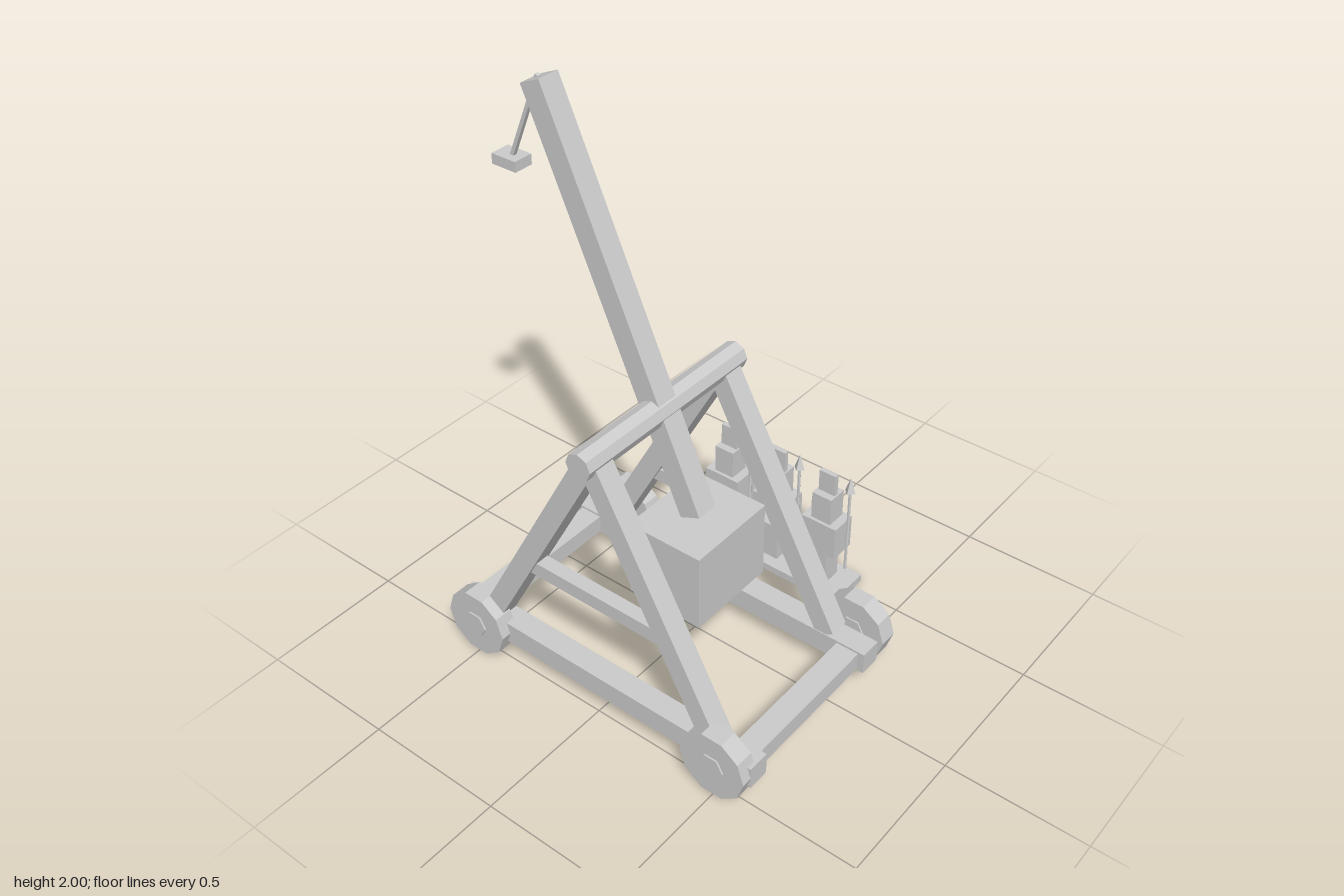
import * as THREE from 'three';

const timber = new THREE.MeshStandardMaterial({ color: 0xcccccc });
timber.name = 'plain grey';
timber.flatShading = true;

const CENTRE = -0.167; // middle of the engine in x

export function createModel() {
  const model = new THREE.Group();
  model.name = 'siegeEngine';

  function add(parent, name, geometry, x, y, z) {
    const mesh = new THREE.Mesh(geometry, timber);
    mesh.name = name;
    mesh.position.set(x, y, z);
    parent.add(mesh);
    return mesh;
  }
  const box = (parent, name, w, h, d, x, y, z) =>
    add(parent, name, new THREE.BoxGeometry(w, h, d), x, y, z);

  // Square beam between two [y, z] points in a plane of constant x
  function beam(parent, name, x, a, b, w, d) {
    const dy = b[0] - a[0], dz = b[1] - a[1];
    const mesh = box(parent, name, w, Math.hypot(dy, dz), d, x, (a[0] + b[0]) / 2, (a[1] + b[1]) / 2);
    mesh.rotation.x = Math.atan2(dz, dy);
    return mesh;
  }

  // Cylinder lying along x, with its first vertex on the z axis
  function roller(parent, name, radius, length, sides, x, y, z) {
    const geometry = new THREE.CylinderGeometry(radius, radius, length, sides);
    geometry.rotateZ(Math.PI / 2);
    return add(parent, name, geometry, x, y, z);
  }

  // Frame: two long sills, legs, braces and cross beams
  const frame = new THREE.Group();
  frame.name = 'frame';
  model.add(frame);
  for (const side of [-1, 1]) {
    const x = CENTRE + side * 0.305;
    box(frame, 'sill', 0.08, 0.08, 1.24, x, 0.127, 0);
    box(frame, 'brace', 0.05, 0.052, 0.54, x, 0.473, 0);
    for (const end of [-1, 1]) {
      beam(frame, 'leg', x, [0.165, end * 0.463], [1.005, end * 0.007], 0.074, 0.072);
    }
  }
  for (const end of [-1, 1]) {
    box(frame, 'crossBeam', 0.56, 0.066, 0.083, CENTRE, 0.126, end * 0.555);
  }
  roller(frame, 'pivotAxle', 0.047, 0.745, 8, CENTRE, 1.026, 0);

  // Wheels with hexagonal hubs
  for (const x of [0.246, -0.515]) {
    for (const end of [-1, 1]) {
      const wheel = new THREE.Group();
      wheel.name = 'wheel';
      wheel.position.set(x, 0.128, end * 0.4975);
      roller(wheel, 'rim', 0.1225, 0.067, 10, 0, 0, 0);
      roller(wheel, 'hub', 0.047, 0.094, 6, 0.008, 0, 0);
      model.add(wheel);
    }
  }

  // Throwing arm, counterweight and sling
  beam(model, 'throwingArm', CENTRE, [0.698, 0.145], [1.98, -0.425], 0.08, 0.08);
  box(model, 'counterweight', 0.331, 0.274, 0.275, CENTRE, 0.547, 0.1425);
  beam(model, 'slingRope', CENTRE, [1.985, -0.428], [1.69, -0.553], 0.014, 0.013);
  box(model, 'slingPouch', 0.07, 0.035, 0.095, CENTRE, 1.682, -0.557);

  // Row of blocky guards on a plank
  box(model, 'plank', 0.163, 0.028, 0.637, 0.469, 0.014, 0);
  for (const z of [-0.21, 0, 0.21]) {
    const guard = new THREE.Group();
    guard.name = 'guard';
    guard.position.set(0.469, 0, z);
    box(guard, 'legs', 0.076, 0.15, 0.066, 0, 0.1, 0);
    box(guard, 'torso', 0.1, 0.13, 0.142, 0, 0.235, 0);
    box(guard, 'head', 0.076, 0.11, 0.078, 0, 0.352, 0);
    box(guard, 'crest', 0.018, 0.085, 0.066, -0.001, 0.447, 0);
    box(guard, 'shield', 0.018, 0.125, 0.09, 0.06, 0.232, -0.053);
    add(guard, 'spearShaft', new THREE.CylinderGeometry(0.006, 0.006, 0.35, 6), 0.008, 0.272, 0.083);
    add(guard, 'spearHead', new THREE.ConeGeometry(0.021, 0.06, 4), 0.008, 0.47, 0.083);
    model.add(guard);
  }
  return model;
}
